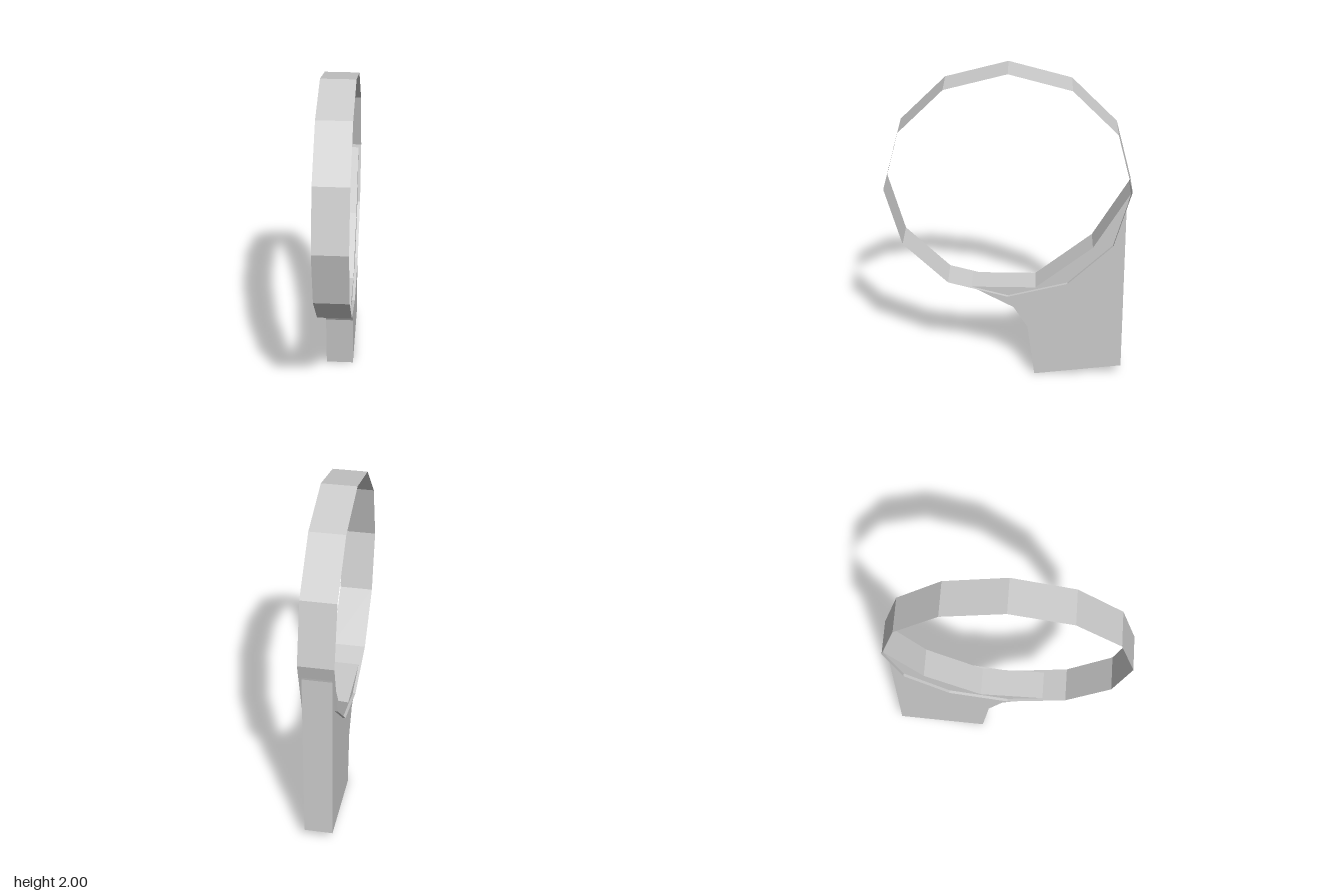
import * as THREE from 'three';

export function createModel() {
  const model = new THREE.Group();
  model.name = 'ringWithGrip';

  // The whole object is turned slightly about the vertical axis
  const body = new THREE.Group();
  body.name = 'body';
  body.rotation.y = -0.154;
  model.add(body);

  const add = (name, geometry, side = THREE.FrontSide) => {
    const material = new THREE.MeshStandardMaterial({ color: 0xcccccc, flatShading: true, side });
    const mesh = new THREE.Mesh(geometry, material);
    mesh.name = name;
    body.add(mesh);
  };

  // Ring: a thin, open twelve-sided band standing upright
  const radius = 0.713, bandWidth = 0.202;
  const band = new THREE.CylinderGeometry(radius, radius, bandWidth, 12, 1, true);
  band.rotateZ(Math.PI / 2).translate(0, 2 - radius, 0);
  add('ringBand', band, THREE.DoubleSide);

  // Grip: side profile (distance towards the back, height), extruded slightly
  // narrower than the band and reaching through it to fill its lower back
  const profile = [
    [0.165, 0], [0.70, 0.07], [0.685, 1.18], [0.705, 1.27],
    [0.5, 0.91], [0.165, 0.632], [-0.22, 0.632],
    [0.034, 0.49], [0.12, 0.35],
  ].map(([x, y]) => new THREE.Vector2(x, y));
  const gripWidth = 0.168;
  const grip = new THREE.ExtrudeGeometry(new THREE.Shape(profile), { depth: gripWidth, bevelEnabled: false });
  grip.translate(0, 0, -gripWidth / 2).rotateY(Math.PI / 2);
  add('grip', grip);

  return model;
}
